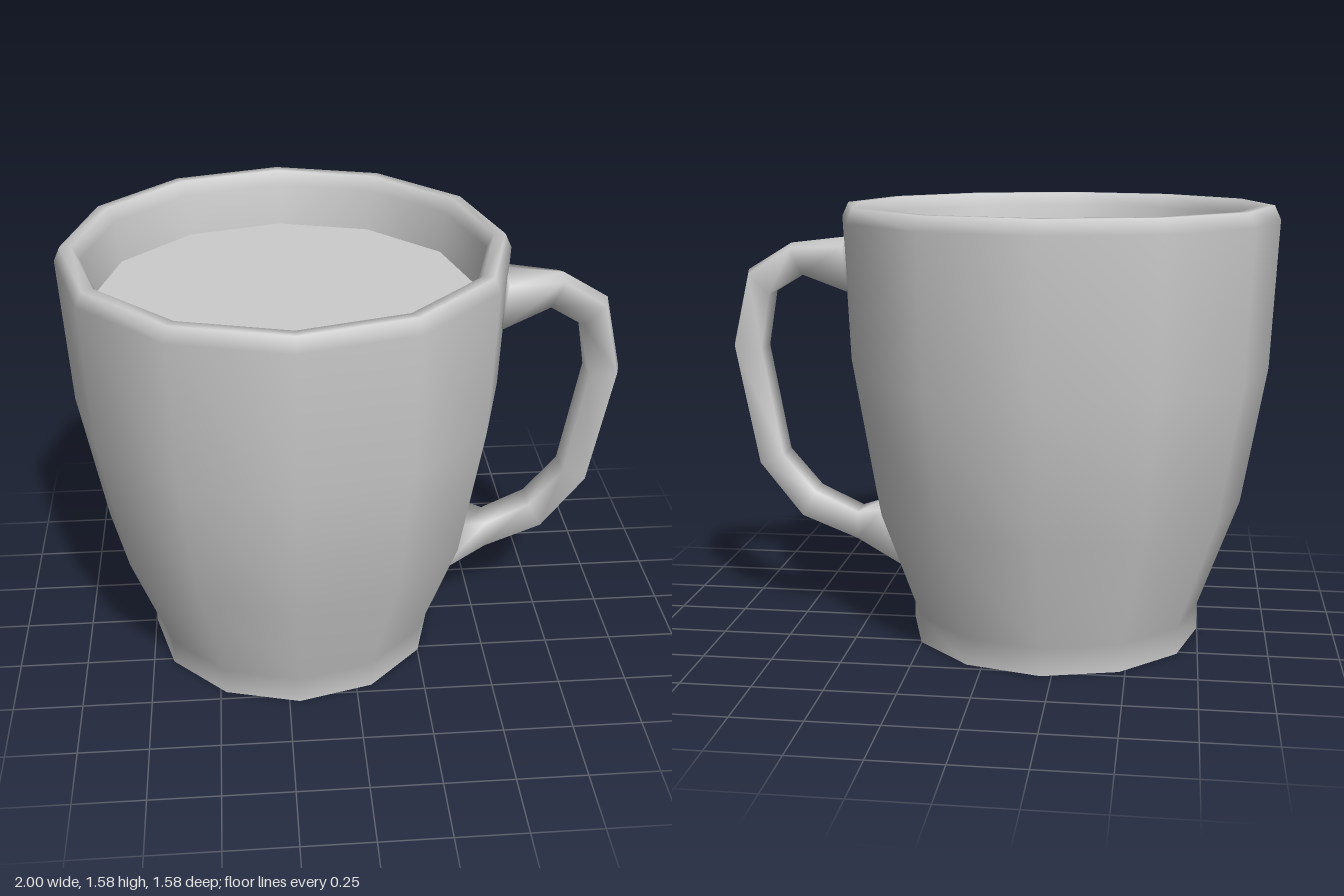
import * as THREE from 'three';

const SIDES = 12;
const CUP_X = -0.212;

const material = new THREE.MeshStandardMaterial({ color: 0xcccccc });

function addMesh(group, name, geometry, x = 0, y = 0) {
  const mesh = new THREE.Mesh(geometry, material);
  mesh.name = name;
  mesh.position.set(x, y, 0);
  group.add(mesh);
}

// Twelve-sided surface of revolution from [radius, height] pairs
function lathe(points) {
  return new THREE.LatheGeometry(points.map(([r, y]) => new THREE.Vector2(r, y)), SIDES);
}

// Handle: five-sided loops, each with a ridge outside and a flat inside
function handleGeometry() {
  // outer x, outer y, inner x, inner y, half width
  const sections = [
    [0.56, 1.455, 0.54, 1.265, 0.108],
    [0.77, 1.43, 0.72, 1.32, 0.057],
    [0.935, 1.33, 0.845, 1.245, 0.057],
    [1.0, 1.05, 0.88, 1.04, 0.057],
    [0.915, 0.6, 0.81, 0.64, 0.057],
    [0.75, 0.39, 0.69, 0.5, 0.057],
    [0.53, 0.305, 0.53, 0.425, 0.057],
    [0.34, 0.2, 0.43, 0.45, 0.096],
  ];
  const positions = [];
  const indices = [];
  const n = 5;
  sections.forEach(([ox, oy, ix, iy, w], i) => {
    const sx = ox + (ix - ox) * 0.15;
    const sy = oy + (iy - oy) * 0.15;
    positions.push(ox, oy, 0, sx, sy, w, ix, iy, w, ix, iy, -w, sx, sy, -w);
    if (i === sections.length - 1) return;
    for (let j = 0; j < n; j++) {
      const a = i * n + j;
      const b = i * n + (j + 1) % n;
      indices.push(a, b, a + n, b, b + n, a + n);
    }
  });
  // End caps
  const last = (sections.length - 1) * n;
  for (let j = 1; j < n - 1; j++) {
    indices.push(0, j + 1, j, last, last + j, last + j + 1);
  }
  const geometry = new THREE.BufferGeometry();
  geometry.setAttribute('position', new THREE.Float32BufferAttribute(positions, 3));
  geometry.setIndex(indices);
  geometry.computeVertexNormals();
  return geometry;
}

export function createModel() {
  const group = new THREE.Group();
  group.name = 'mug';

  // Outer wall, rounded rim and inner wall in one smooth profile
  addMesh(group, 'cupWall', lathe([
    [0.535, 0], [0.535, 0.1], [0.68, 0.5], [0.765, 1.0], [0.788, 1.53],
    [0.765, 1.58], [0.725, 1.58], [0.7, 1.53], [0.68, 1.38],
  ]), CUP_X);

  // Foot ring with a recessed underside
  addMesh(group, 'footRing', lathe([[0.485, 0], [0.535, 0]]), CUP_X);
  addMesh(group, 'footInnerWall', lathe([[0.465, 0.06], [0.485, 0]]), CUP_X);
  addMesh(group, 'underside', new THREE.CircleGeometry(0.465, SIDES).rotateX(Math.PI / 2), CUP_X, 0.06);

  // Drink filling the cup
  addMesh(group, 'drinkSurface', new THREE.CircleGeometry(0.68, SIDES).rotateX(-Math.PI / 2), CUP_X, 1.38);

  addMesh(group, 'handle', handleGeometry());
  return group;
}
